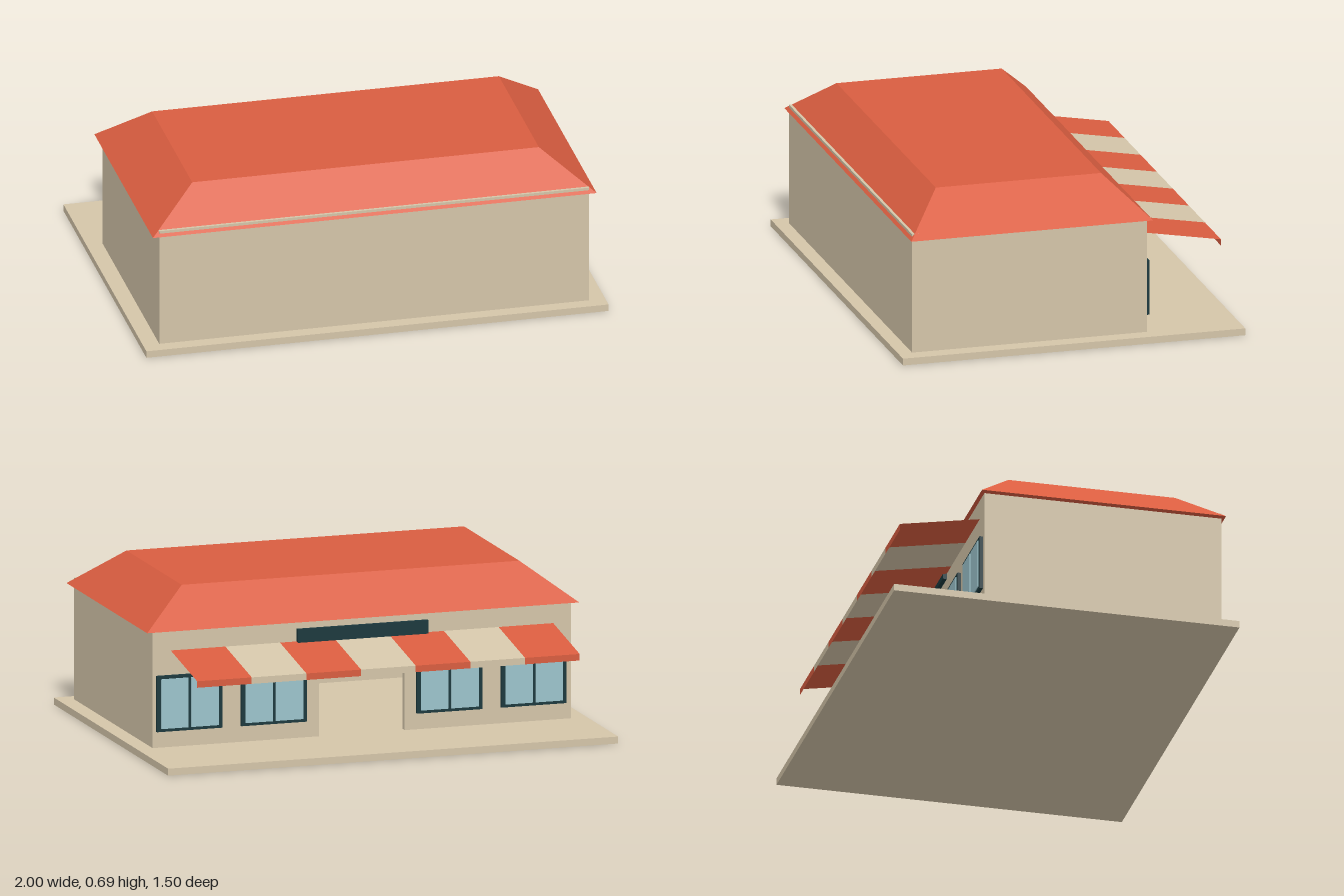
import * as THREE from 'three';

const material = (name, color, side = THREE.FrontSide) => {
  const m = new THREE.MeshStandardMaterial({ color, side });
  m.name = name;
  return m;
};

export function createModel() {
  const tan = material('tan plaster', 0xd4c5a9);
  const red = material('roof red', 0xd95d40);
  const dark = material('dark teal', 0x1b383d);
  const glass = material('window glass', 0x9cc4cc);
  tan.side = red.side = THREE.DoubleSide;

  const model = new THREE.Group();
  model.name = 'shop';

  // Box given by its lower and upper limits on each axis
  const box = (name, mat, [x0, x1], [y0, y1], [z0, z1], parent = model) => {
    const mesh = new THREE.Mesh(new THREE.BoxGeometry(x1 - x0, y1 - y0, z1 - z0), mat);
    mesh.position.set((x0 + x1) / 2, (y0 + y1) / 2, (z0 + z1) / 2);
    mesh.name = name;
    parent.add(mesh);
    return mesh;
  };

  // Paved base and hollow walls; the front wall top shows as a strip in the roof
  const floor = 0.03, front = 0.69, back = -0.34, t = 0.03;
  box('base', tan, [-1, 1], [0, floor], [-0.75, 0.75]);
  box('frontWall', tan, [-0.93, 0.93], [floor, 0.553], [front - t, front]);
  for (const s of [-1, 1]) {
    const xs = [0.93 * s, (0.93 - t) * s].sort((a, b) => a - b);
    box(s > 0 ? 'leftWall' : 'rightWall', tan, xs, [floor, 0.552], [back + t, front - t]);
  }

  // Back wall with an open doorway
  const wall = new THREE.Shape([
    [-0.93, floor], [-0.19, floor], [-0.19, 0.34], [0.19, 0.34],
    [0.19, floor], [0.93, floor], [0.93, 0.54], [-0.93, 0.54],
  ].map(([x, y]) => new THREE.Vector2(x, y)));
  const backWall = new THREE.Mesh(new THREE.ExtrudeGeometry(wall, { depth: t, bevelEnabled: false }), tan);
  backWall.position.z = back;
  backWall.name = 'backWall';
  model.add(backWall);

  // Hipped roof with a flat top
  const roofGeo = new THREE.BoxGeometry(1.92, 0.16, 1.06);
  const rp = roofGeo.attributes.position;
  for (let i = 0; i < rp.count; i++) {
    if (rp.getY(i) > 0) {
      rp.setX(i, Math.sign(rp.getX(i)) * 0.75);
      rp.setZ(i, Math.sign(rp.getZ(i)) * 0.362);
    }
  }
  roofGeo.computeVertexNormals();
  const roof = new THREE.Mesh(roofGeo, red);
  roof.position.set(0, 0.61, 0.172);
  roof.name = 'roof';
  model.add(roof);

  // Striped awning: each stripe is a slope with a short valance
  const awning = new THREE.Group();
  awning.name = 'awning';
  const profile = [[0.445, back], [0.383, -0.687], [0.355, -0.687]];
  const stripes = 7, width = 1.7 / stripes;
  for (let k = 0; k < stripes; k++) {
    const plane = new THREE.PlaneGeometry(width, 1, 1, 2);
    const p = plane.attributes.position;
    for (let i = 0; i < p.count; i++) {
      const [y, z] = profile[Math.floor(i / 2)];
      p.setXYZ(i, -p.getX(i), y, z);
    }
    const geo = plane.toNonIndexed();
    geo.computeVertexNormals();
    const stripe = new THREE.Mesh(geo, k % 2 ? tan : red);
    stripe.position.x = (k - (stripes - 1) / 2) * width;
    stripe.name = 'awningStripe';
    awning.add(stripe);
  }
  model.add(awning);

  // Blank sign board above the awning
  box('signBoard', dark, [-0.29, 0.29], [0.42, 0.5], [-0.357, back]);

  // Four windows, each with two panes on a dark frame
  for (const cx of [-0.76, -0.385, 0.395, 0.77]) {
    const win = new THREE.Group();
    win.name = 'window';
    box('windowFrame', dark, [cx - 0.145, cx + 0.145], [0.1, 0.34], [-0.355, back], win);
    for (const s of [-1, 1]) {
      const px = cx + s * 0.067;
      box('windowPane', glass, [px - 0.061, px + 0.061], [0.113, 0.327], [-0.359, -0.354], win);
    }
    model.add(win);
  }
  return model;
}
